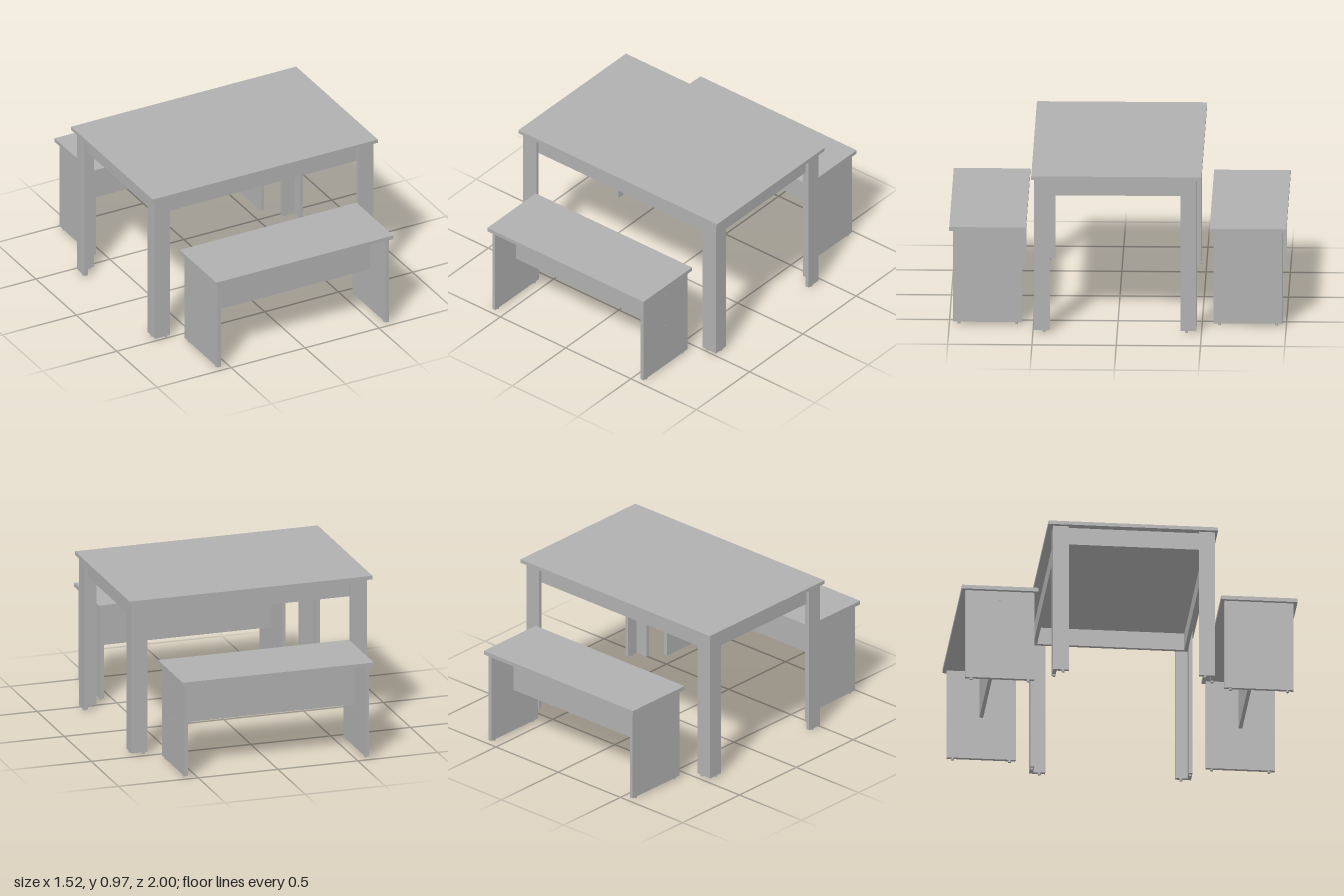
import * as THREE from 'three';

export function createModel() {
  const model = new THREE.Group();
  const grey = new THREE.MeshStandardMaterial({ color: 0xb0b0b0 });
  grey.name = 'grey';

  // Box given by its min and max on each axis
  function board(parent, name, [x0, x1], [y0, y1], [z0, z1]) {
    const mesh = new THREE.Mesh(new THREE.BoxGeometry(x1 - x0, y1 - y0, z1 - z0), grey);
    mesh.position.set((x0 + x1) / 2, (y0 + y1) / 2, (z0 + z1) / 2);
    mesh.name = name;
    parent.add(mesh);
  }
  function glide(parent, x, z) {
    const mesh = new THREE.Mesh(new THREE.CylinderGeometry(0.009, 0.009, 0.012, 16), grey);
    mesh.position.set(x, 0.006, z);
    mesh.name = 'footGlide';
    parent.add(mesh);
  }
  // Range running from a to b, mirrored when s is -1
  const span = (s, a, b) => (s > 0 ? [a, b] : [-b, -a]);
  const T = 0.022; // board thickness
  const FOOT = 0.012;

  // Table, its underframe sitting slightly forward
  const table = new THREE.Group();
  table.name = 'table';
  model.add(table);
  board(table, 'tableTop', [-0.762, 0.76], [0.95, 0.972], [-0.5, 0.51]);
  const frame = new THREE.Group();
  frame.name = 'tableFrame';
  frame.position.z = 0.0125;
  table.add(frame);
  const LX = 0.738, LZ = 0.4825; // outer faces of the legs
  for (const sx of [1, -1]) {
    for (const sz of [1, -1]) {
      const leg = new THREE.Group();
      leg.name = 'tableLeg';
      frame.add(leg);
      // Two boards joined in an L
      board(leg, 'legSideBoard', span(sx, LX - T, LX), [FOOT, 0.95], span(sz, LZ - 0.095, LZ));
      board(leg, 'legFaceBoard', span(sx, 0.637, LX - T), [FOOT, 0.95], span(sz, LZ - T, LZ));
      glide(leg, sx * (LX - T / 2), sz * (LZ - 0.06));
      glide(leg, sx * 0.662, sz * (LZ - T / 2));
    }
    board(frame, 'sideApron', span(sx, LX - 2 * T, LX - T), [0.842, 0.95], [-LZ + 2 * T, LZ - 2 * T]);
  }
  for (const sz of [1, -1]) {
    board(frame, 'longApron', [-LX + T, LX - T], [0.842, 0.95], span(sz, LZ - 2 * T, LZ - T));
  }

  // Two matching benches
  for (const s of [1, -1]) {
    const bench = new THREE.Group();
    bench.name = s > 0 ? 'frontBench' : 'backBench';
    bench.position.z = s * 0.7725;
    model.add(bench);
    board(bench, 'benchSeat', [-0.6, 0.597], [0.58, 0.604], [-0.2275, 0.2275]);
    board(bench, 'benchStretcher', [-0.557, 0.557], [0.28, 0.58], [-T / 2, T / 2]);
    for (const sx of [1, -1]) {
      board(bench, 'benchEndPanel', span(sx, 0.557, 0.579), [FOOT, 0.58], [-0.206, 0.206]);
      for (const z of [-0.17, 0.17]) glide(bench, sx * 0.568, z);
      // Screw heads holding the stretcher
      for (const y of [0.3, 0.525]) {
        const screw = new THREE.Mesh(new THREE.CylinderGeometry(0.004, 0.004, 0.003, 12), grey);
        screw.rotation.z = Math.PI / 2;
        screw.position.set(sx * 0.579, y, 0);
        screw.name = 'screwHead';
        bench.add(screw);
      }
    }
  }
  return model;
}
